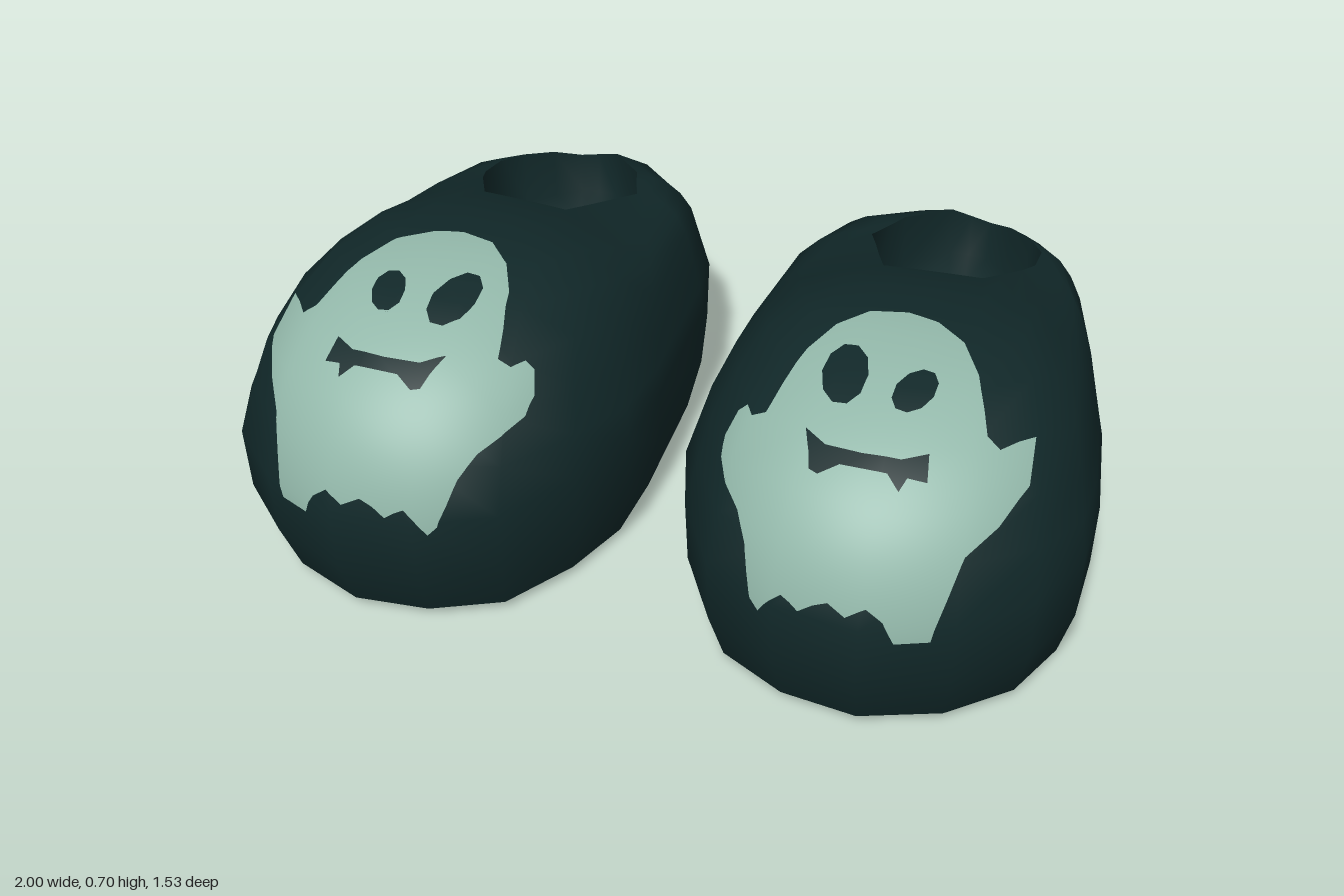
import * as THREE from 'three';
import { mergeVertices } from 'three/addons/utils/BufferGeometryUtils.js';

// Slipper outline and foot opening seen from above (x, z), starting at the heel.
const OUTLINE = [[.45, -.765], [.64, -.69], [.8, -.56], [.885, -.36], [.96, -.07], [1, .2], [1, .39], [.93, .56], [.79, .69],
  [.6, .765], [.41, .745], [.24, .66], [.13, .48], [.07, .3], [.065, .1], [.085, -.28], [.14, -.49], [.27, -.69]];
const OPENING = [[.51, -.66], [.56, -.66], [.62, -.61], [.68, -.55], [.72, -.5], [.72, -.39], [.7, -.33], [.67, -.27], [.63, -.19],
  [.55, -.18], [.47, -.17], [.4, -.16], [.37, -.24], [.34, -.33], [.31, -.41], [.34, -.49], [.36, -.55], [.46, -.66]];
const CENTRE = [.535, 0];
const N = OUTLINE.length;

// Height profiles: ridge along z, and roundness from rim (1) to middle (0).
const RIDGE = [[-.77, .49], [-.66, .505], [-.42, .555], [-.16, .62], [.04, .695], [.25, .695], [.8, .705]];
const TOE_ROUND = [[0, 1], [.4, .98], [.64, .86], [.82, .64], [.9, .47], [1, 0]];
const HEEL_ROUND = [[0, 1], [.86, 1], [.93, .85], [1, 0]];

// Ghost in (x, y - z) coordinates, draped along the toe.
const GHOST = [[.24, .13], [.225, .05], [.23, -.02], [.26, -.1], [.3, -.17], [.33, -.26], [.345, -.34], [.36, -.41], [.38, -.44],
  [.405, -.41], [.43, -.385], [.45, -.4], [.47, -.42], [.5, -.395], [.53, -.38], [.57, -.41], [.61, -.375], [.645, -.4],
  [.67, -.45], [.74, -.42], [.76, -.3], [.78, -.17], [.83, -.06], [.87, .08], [.86, .23], [.83, .2], [.8, .16], [.77, .19],
  [.75, .27], [.72, .375], [.67, .475], [.6, .535], [.53, .55], [.45, .53], [.39, .46], [.35, .36], [.325, .23],
  [.31, .13], [.28, .115], [.26, .15]];
const MOUTH = [[.41, .1], [.46, .06], [.54, .055], [.62, .06], [.67, .095], [.68, .01], [.64, .01], [.63, -.035], [.6, .01],
  [.5, .01], [.46, -.03], [.44, -.02], [.43, .03]];

function sample(table, x) {
  if (x <= table[0][0]) return table[0][1];
  for (let i = 1; i < table.length; i++) {
    const [x0, y0] = table[i - 1], [x1, y1] = table[i];
    if (x <= x1) return y0 + (y1 - y0) * (x - x0) / (x1 - x0);
  }
  return table[table.length - 1][1];
}

// 0 at the centre, 1 on the outline
function gauge(x, z) {
  let s = 0;
  for (let i = 0; i < N; i++) {
    const [ax, az] = OUTLINE[i], [bx, bz] = OUTLINE[(i + 1) % N];
    const nx = bz - az, nz = ax - bx;
    s = Math.max(s, (nx * (x - CENTRE[0]) + nz * (z - CENTRE[1])) / (nx * (ax - CENTRE[0]) + nz * (az - CENTRE[1])));
  }
  return Math.min(s, 1);
}

function upperHeight(x, z) {
  const s = gauge(x, z), heel = THREE.MathUtils.clamp(-z / .6, 0, 1);
  const round = THREE.MathUtils.lerp(sample(TOE_ROUND, s), sample(HEEL_ROUND, s), heel);
  return .32 + (sample(RIDGE, z) - .32) * round;
}

// Ring of points scaled about a centre, height given by a rule
function ring(points, [cx, cz], s, height) {
  return points.map(([px, pz]) => {
    const x = cx + (px - cx) * s, z = cz + (pz - cz) * s;
    return [x, height(x, z), z];
  });
}

// Skin between closed rings
function loft(rings) {
  const index = [];
  for (let r = 0; r < rings.length - 1; r++) {
    for (let i = 0; i < N; i++) {
      const j = (i + 1) % N, a = r * N, b = a + N;
      index.push(a + i, b + i, a + j, b + i, b + j, a + j);
    }
  }
  const geo = new THREE.BufferGeometry();
  geo.setAttribute('position', new THREE.Float32BufferAttribute(rings.flat(2), 3));
  geo.setIndex(index);
  const merged = mergeVertices(geo, 1e-5);
  merged.computeVertexNormals();
  return merged;
}

function ellipseHole(x, v, rx, rv, tilt) {
  return new THREE.Path().absellipse(x, v, rx, rv, 0, Math.PI * 2, false, tilt);
}

// Flat ghost, subdivided, then dropped on the toe at 45 degrees
function drapedGhost(body) {
  const toVec = ([x, y]) => new THREE.Vector2(x, y);
  const shape = new THREE.Shape(GHOST.map(toVec));
  shape.holes.push(new THREE.Path(MOUTH.map(toVec)),
    ellipseHole(.452, .295, .05, .105, .1), ellipseHole(.606, .28, .041, .078, -.2));
  const flat = new THREE.ShapeGeometry(shape, 5).toNonIndexed();
  let points = [];
  for (let i = 0; i < flat.attributes.position.count; i++) {
    points.push(new THREE.Vector3().fromBufferAttribute(flat.attributes.position, i));
  }
  for (let pass = 0; pass < 4; pass++) {
    const next = [];
    for (let i = 0; i < points.length; i += 3) {
      const [a, b, c] = points.slice(i, i + 3);
      const ab = a.clone().lerp(b, .5), bc = b.clone().lerp(c, .5), ca = c.clone().lerp(a, .5);
      next.push(a, ab, ca, ab, b, bc, ca, bc, c, ab, bc, ca);
    }
    points = next;
  }
  let geo = new THREE.BufferGeometry().setFromPoints(points);
  geo = mergeVertices(geo, 1e-5);
  const pos = geo.attributes.position, normals = new Float32Array(pos.count * 3);
  const target = new THREE.Mesh(body, new THREE.MeshBasicMaterial());
  const ray = new THREE.Raycaster();
  const dir = new THREE.Vector3(0, -1, -1).normalize();
  for (let i = 0; i < pos.count; i++) {
    const v = pos.getY(i);
    ray.set(new THREE.Vector3(pos.getX(i), 2 + v / 2, 2 - v / 2), dir);
    const hit = ray.intersectObject(target)[0];
    if (!hit) continue;
    const n = hit.normal.clone().normalize();
    const p = hit.point.addScaledVector(n, .006);
    pos.setXYZ(i, p.x, p.y, p.z);
    n.toArray(normals, i * 3);
  }
  geo.setAttribute('normal', new THREE.BufferAttribute(normals, 3));
  return geo;
}

function mirrored(source) {
  const geo = source.clone();
  for (const name of ['position', 'normal']) {
    const attr = geo.attributes[name];
    for (let i = 0; i < attr.count; i++) attr.setX(i, -attr.getX(i));
  }
  const index = geo.index.array;
  for (let i = 0; i < index.length; i += 3) [index[i], index[i + 1]] = [index[i + 1], index[i]];
  return geo;
}

export function createModel() {
  const felt = new THREE.MeshStandardMaterial({ color: 0x112829 });
  felt.name = 'dark green felt';
  const pale = new THREE.MeshStandardMaterial({ color: 0x93b8aa });
  pale.name = 'pale green';

  // Upper: side wall, then rings closing in on the foot opening
  const wall = [[.92, .025], [.99, .16]].map(([s, y]) => ring(OUTLINE, CENTRE, s, () => y));
  const top = [0, .06, .13, .25, .4, .57, .77, 1].map(t => OUTLINE.map(([x, z], i) => {
    const px = THREE.MathUtils.lerp(x, OPENING[i][0], t), pz = THREE.MathUtils.lerp(z, OPENING[i][1], t);
    return [px, upperHeight(px, pz), pz];
  }));
  const upper = loft([...wall, ...top]);

  // Lining: a bowl hanging from the opening
  const mid = [.52, -.41];
  const lining = loft([ring(OPENING, mid, 1, upperHeight), ring(OPENING, mid, .97, () => .38),
    ring(OPENING, mid, .8, () => .32), ring(OPENING, mid, 0, () => .31)]);

  // Sole: slightly lower under the toes
  const soleY = (x, z) => .02 - .02 * THREE.MathUtils.smoothstep(z, 0, .45);
  const sole = loft([ring(OUTLINE, CENTRE, 0, soleY), ring(OUTLINE, CENTRE, .68, soleY),
    ring(OUTLINE, CENTRE, .92, () => .025)]);

  const parts = [['upper', upper, felt], ['lining', lining, felt], ['sole', sole, felt], ['ghostPatch', drapedGhost(upper), pale]];
  const model = new THREE.Group();
  model.name = 'slippers';
  for (const side of ['left', 'right']) {
    const slipper = new THREE.Group();
    slipper.name = side + 'Slipper';
    for (const [name, geo, material] of parts) {
      const mesh = new THREE.Mesh(side === 'left' ? geo : mirrored(geo), material);
      mesh.name = name;
      slipper.add(mesh);
    }
    model.add(slipper);
  }
  return model;
}
